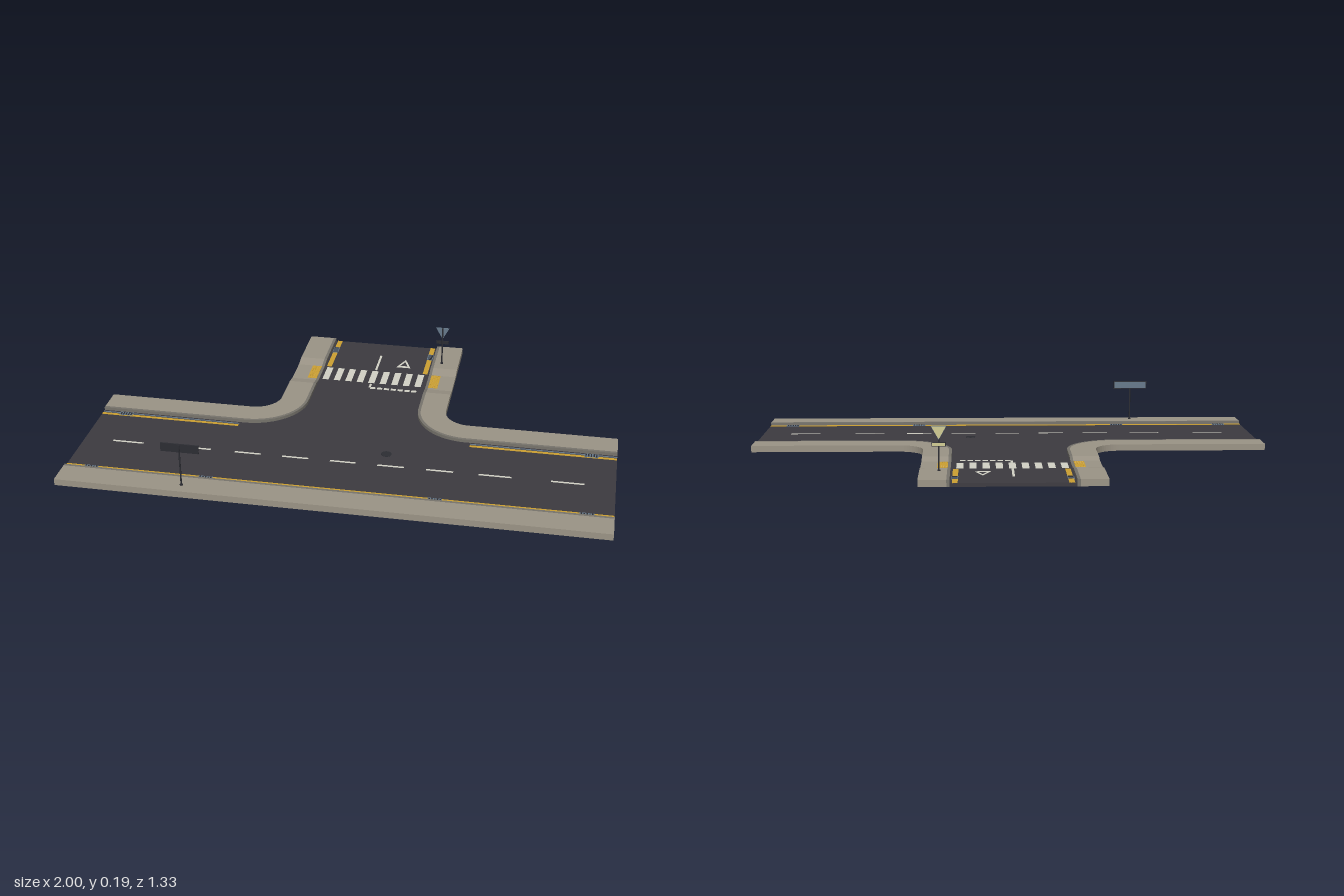
import * as THREE from 'three';

const mat = (name, color, side = THREE.FrontSide) => {
  const m = new THREE.MeshStandardMaterial({ color, side });
  m.name = name;
  return m;
};

export function createModel() {
  const asphalt = mat('asphalt', 0x3c3a40);
  const concrete = mat('concrete', 0x9b9486);
  const kerbStone = mat('kerb stone', 0x77746c);
  const yellow = mat('yellow paint', 0xcca032);
  const white = mat('white paint', 0xd3d2c6);
  const slate = mat('slate metal', 0x66798a);
  const darkMetal = mat('dark metal', 0x2c2d33);
  const cream = mat('sign cream', 0xd2cd94);

  const model = new THREE.Group();
  model.name = 'roadJunction';
  const ROAD = 0.013, WALK = 0.025, DIP = 0.016;

  const add = (name, geo, material, parent = model) => {
    const mesh = new THREE.Mesh(geo, material);
    mesh.name = name;
    parent.add(mesh);
    return mesh;
  };
  // Box given by its ranges on each axis
  const block = (name, x0, x1, y0, y1, z0, z1, material, parent) => {
    const geo = new THREE.BoxGeometry(x1 - x0, y1 - y0, z1 - z0);
    geo.translate((x0 + x1) / 2, (y0 + y1) / 2, (z0 + z1) / 2);
    return add(name, geo, material, parent);
  };
  // Thin painted plate lying on the road
  const paint = (name, x0, x1, z0, z1, material = white) =>
    block(name, x0, x1, ROAD - 0.001, ROAD + 0.0008, z0, z1, material);

  // Road slab with rounded inner corners
  const road = new THREE.Shape();
  road.moveTo(-1, 0.55);
  road.lineTo(1, 0.55);
  road.lineTo(1, 0.11);
  road.lineTo(0.43, 0.11);
  road.absarc(0.43, -0.1, 0.21, Math.PI / 2, Math.PI, false);
  road.lineTo(0.22, -0.665);
  road.lineTo(-0.22, -0.665);
  road.lineTo(-0.22, -0.1);
  road.absarc(-0.43, -0.1, 0.21, 0, Math.PI / 2, false);
  road.lineTo(-1, 0.11);
  const roadGeo = new THREE.ExtrudeGeometry(road, { depth: ROAD, bevelEnabled: false, curveSegments: 16 });
  roadGeo.rotateX(Math.PI / 2).translate(0, ROAD, 0);
  add('road', roadGeo, asphalt);

  // Position on the corner pavement, d away from the road edge
  const stations = [];
  for (const z of [-0.665, -0.46, -0.41, -0.285, -0.24]) {
    const y = z === -0.41 || z === -0.285 ? DIP : WALK;
    stations.push((d) => [0.22 + d, z, y]);
  }
  for (let i = 0; i <= 14; i++) {
    const a = Math.PI - (i / 14) * Math.PI / 2;
    stations.push((d) => [0.43 + (0.21 - d) * Math.cos(a), -0.1 + (0.21 - d) * Math.sin(a), WALK]);
  }
  stations.push((d) => [1, 0.11 - d, WALK]);

  // Loft of rectangular sections between offsets d0 and d1
  const cornerStrip = (side, d0, d1) => {
    const pos = [];
    const sections = stations.map((at) => {
      const [ax, az, y] = at(d0), [bx, bz] = at(d1);
      return [[ax, 0, az], [ax, y, az], [bx, y, bz], [bx, 0, bz]].map(([x, h, z]) => [side * x, h, z]);
    });
    const quad = (a, b, c, d) => {
      const order = side > 0 ? [a, b, c, a, c, d] : [a, c, b, a, d, c];
      order.forEach((p) => pos.push(...p));
    };
    for (let i = 0; i < sections.length - 1; i++) {
      const s = sections[i], t = sections[i + 1];
      for (let k = 0; k < 4; k++) quad(s[k], t[k], t[(k + 1) % 4], s[(k + 1) % 4]);
    }
    const end = sections[sections.length - 1];
    quad(...sections[0]);
    quad(end[3], end[2], end[1], end[0]);
    const geo = new THREE.BufferGeometry();
    geo.setAttribute('position', new THREE.Float32BufferAttribute(pos, 3));
    geo.computeVertexNormals();
    return geo;
  };

  // Pavements and kerbs
  for (const side of [1, -1]) {
    const label = side > 0 ? 'left' : 'right';
    add(label + 'Pavement', cornerStrip(side, 0.011, 0.11), concrete);
    add(label + 'Kerb', cornerStrip(side, 0, 0.011), kerbStone);
  }
  block('frontPavement', -1, 1, 0, WALK, 0.561, 0.66, concrete);
  block('frontKerb', -1, 1, 0, WALK, 0.55, 0.561, kerbStone);

  // Edge lines
  paint('frontEdgeLine', -1, 1, 0.525, 0.547, yellow);
  for (const s of [1, -1]) {
    const span = (a, b) => (s > 0 ? [a, b] : [-b, -a]);
    paint('backEdgeLine', ...span(0.45, 1), 0.129, 0.142, yellow);
    paint('backChannel', ...span(0.45, 1), 0.118, 0.124, slate);
    paint('sideEdgeLine', ...span(0.192, 0.212), -0.665, -0.42, yellow);
  }

  // Centre dashes of the main road
  [[0, 0.096], [0.18, 0.1], [0.362, 0.1], [0.565, 0.12], [0.828, 0.12]].forEach(([x, w]) => {
    for (const s of x ? [1, -1] : [1]) paint('centreDash', s * x - w / 2, s * x + w / 2, 0.33, 0.339);
  });

  // Side road markings: crossing, centre line, give-way dashes, triangle
  for (let i = 0; i < 9; i++) {
    const x = -0.195 + i * 0.0478;
    paint('crossingBar', x - 0.013, x + 0.013, -0.41, -0.303);
  }
  paint('sideCentreLine', -0.008, 0.001, -0.555, -0.42);
  paint('sideCentreLineEnd', -0.008, 0.001, -0.295, -0.265);
  for (let i = 0; i < 7; i++) paint('giveWayDash', i * 0.028, i * 0.028 + 0.021, -0.268, -0.253);

  const triangle = (w, h, hole) => {
    const s = new THREE.Shape([[-w, 0], [w, 0], [0, h]].map((p) => new THREE.Vector2(...p)));
    if (hole) s.holes.push(new THREE.Path([[-w * 0.5, h * 0.2], [0, h * 0.72], [w * 0.5, h * 0.2]]
      .map((p) => new THREE.Vector2(...p))));
    return s;
  };
  const slab = (shape, depth) => new THREE.ExtrudeGeometry(shape, { depth, bevelEnabled: false });
  const mark = add('roadTriangle', slab(triangle(0.03, 0.073, true), 0.0016), white);
  mark.rotation.x = -Math.PI / 2;
  mark.position.set(0.105, ROAD - 0.001, -0.462);

  // Drain gratings with dark slots
  const drain = (x, z, turned) => {
    const g = new THREE.Group();
    g.name = 'drain';
    block('drainFrame', -0.026, 0.026, -0.001, 0.0014, -0.012, 0.012, slate, g);
    for (let i = 0; i < 5; i++) {
      const sx = -0.02 + i * 0.01;
      block('drainSlot', sx - 0.0025, sx + 0.0025, 0, 0.002, -0.0095, 0.0095, darkMetal, g);
    }
    g.position.set(x, ROAD, z);
    if (turned) g.rotation.y = Math.PI / 2;
    model.add(g);
  };
  for (const x of [-0.905, -0.47, 0.37, 0.905]) drain(x, 0.536);
  for (const s of [1, -1]) {
    drain(s * 0.905, 0.126);
    drain(s * 0.203, -0.575, true);
  }

  // Manhole cover
  const cover = add('manholeCover', new THREE.CylinderGeometry(0.02, 0.02, 0.002, 24), darkMetal);
  cover.position.set(0.15, ROAD, 0.25);

  // Tactile paving with studs on the dropped kerbs
  for (const s of [1, -1]) {
    const x = s * 0.25;
    block('tactilePaving', x - 0.019, x + 0.019, DIP - 0.002, DIP + 0.0008, -0.408, -0.298, yellow);
    for (let i = 0; i < 4; i++) for (let j = 0; j < 11; j++) {
      const stud = add('tactileStud', new THREE.CylinderGeometry(0.0022, 0.003, 0.0016, 6), yellow);
      stud.position.set(x - 0.0135 + i * 0.009, DIP + 0.0014, -0.403 + j * 0.01);
    }
  }

  // Sign posts
  const post = (x, z, top) => {
    const p = add('signPost', new THREE.CylinderGeometry(0.003, 0.003, top - WALK, 10), darkMetal);
    p.position.set(x, (top + WALK) / 2, z);
    const foot = add('postFoot', new THREE.CylinderGeometry(0.006, 0.006, 0.004, 10), darkMetal);
    foot.position.set(x, WALK + 0.002, z);
  };

  // Long sign, facing the road
  post(-0.535, 0.616, 0.19);
  block('longSignBack', -0.605, -0.465, 0.158, 0.191, 0.608, 0.613, darkMetal);
  block('longSignFace', -0.602, -0.468, 0.161, 0.188, 0.607, 0.6085, slate);

  // Give-way sign, facing the back
  post(0.26, -0.507, 0.187);
  const signPlate = (name, w, h, depth, z, material) => {
    const m = add(name, slab(triangle(w, h), depth), material);
    m.rotation.z = Math.PI;
    m.position.set(0.26, 0.162 + h / 2, z);
  };
  signPlate('giveWayBack', 0.028, 0.05, 0.003, -0.513, slate);
  signPlate('giveWayFace', 0.026, 0.046, 0.001, -0.5137, cream);
  block('lowerPlateBack', 0.235, 0.286, 0.114, 0.128, -0.513, -0.51, darkMetal);
  block('lowerPlateFace', 0.237, 0.284, 0.116, 0.126, -0.5137, -0.5128, cream);

  return model;
}
